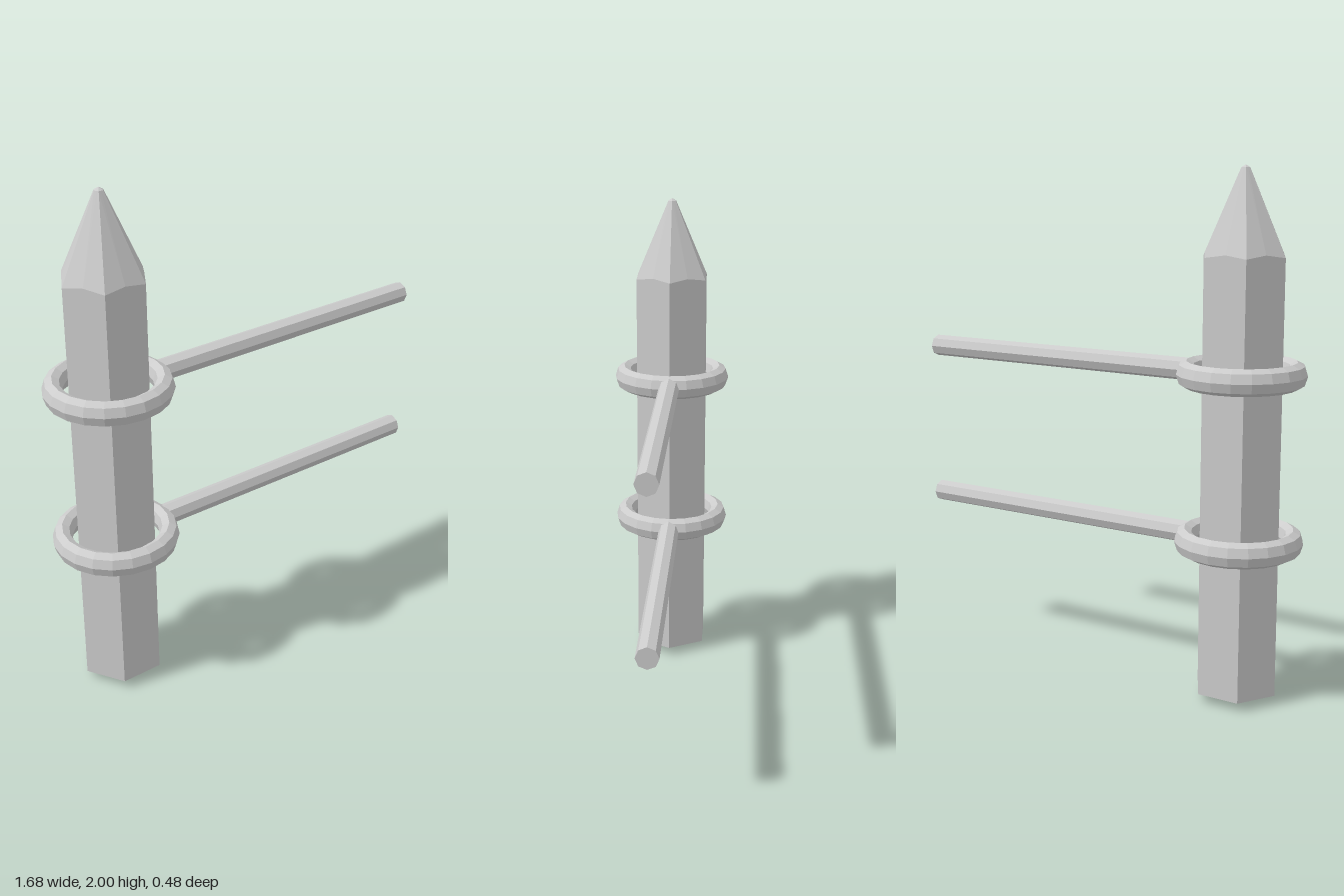
import * as THREE from 'three';

const material = new THREE.MeshStandardMaterial({ color: 0xcccccc, flatShading: true });
const POST_X = -0.6;

function part(name, geometry, x, y) {
  const mesh = new THREE.Mesh(geometry, material);
  mesh.name = name;
  mesh.position.set(x, y, 0);
  return mesh;
}

// Hexagonal stake: shallow pointed foot, straight shaft, sharpened tip
function stakeGeometry() {
  const profile = [[0, 0], [0.165, 0.035], [0.165, 1.675], [0.018, 1.99], [0, 2]];
  const geometry = new THREE.LatheGeometry(profile.map(([r, y]) => new THREE.Vector2(r, y)), 12);
  const p = geometry.attributes.position;
  for (let i = 0; i < p.count; i++) {
    const side = Math.floor(i / profile.length);
    if (side % 2) continue; // hexagon corners stay put
    // Midpoints are pulled in onto the flat sides, arching the sharpened edge slightly
    const k = Math.cos(Math.PI / 6);
    p.setX(i, p.getX(i) * k);
    p.setZ(i, p.getZ(i) * k);
    if (i % profile.length === 2) p.setY(i, p.getY(i) + 0.012);
  }
  return geometry;
}

export function createModel() {
  const model = new THREE.Group();
  model.name = 'fencePost';
  model.add(part('stake', stakeGeometry(), POST_X, 0));

  // Ring tube is a little taller than it is wide
  const ring = new THREE.TorusGeometry(0.204, 0.038, 8, 20);
  ring.rotateX(Math.PI / 2);
  ring.scale(1, 1.3, 1);

  // Rail starts inside the ring
  const x0 = -0.4, x1 = 0.838;
  const rail = new THREE.CylinderGeometry(0.043, 0.043, x1 - x0, 8);
  rail.rotateZ(Math.PI / 2);

  for (const [level, y] of [['lower', 0.616], ['upper', 1.247]]) {
    model.add(part(level + 'Ring', ring, POST_X, y));
    model.add(part(level + 'Rail', rail, (x0 + x1) / 2, y));
  }
  return model;
}
